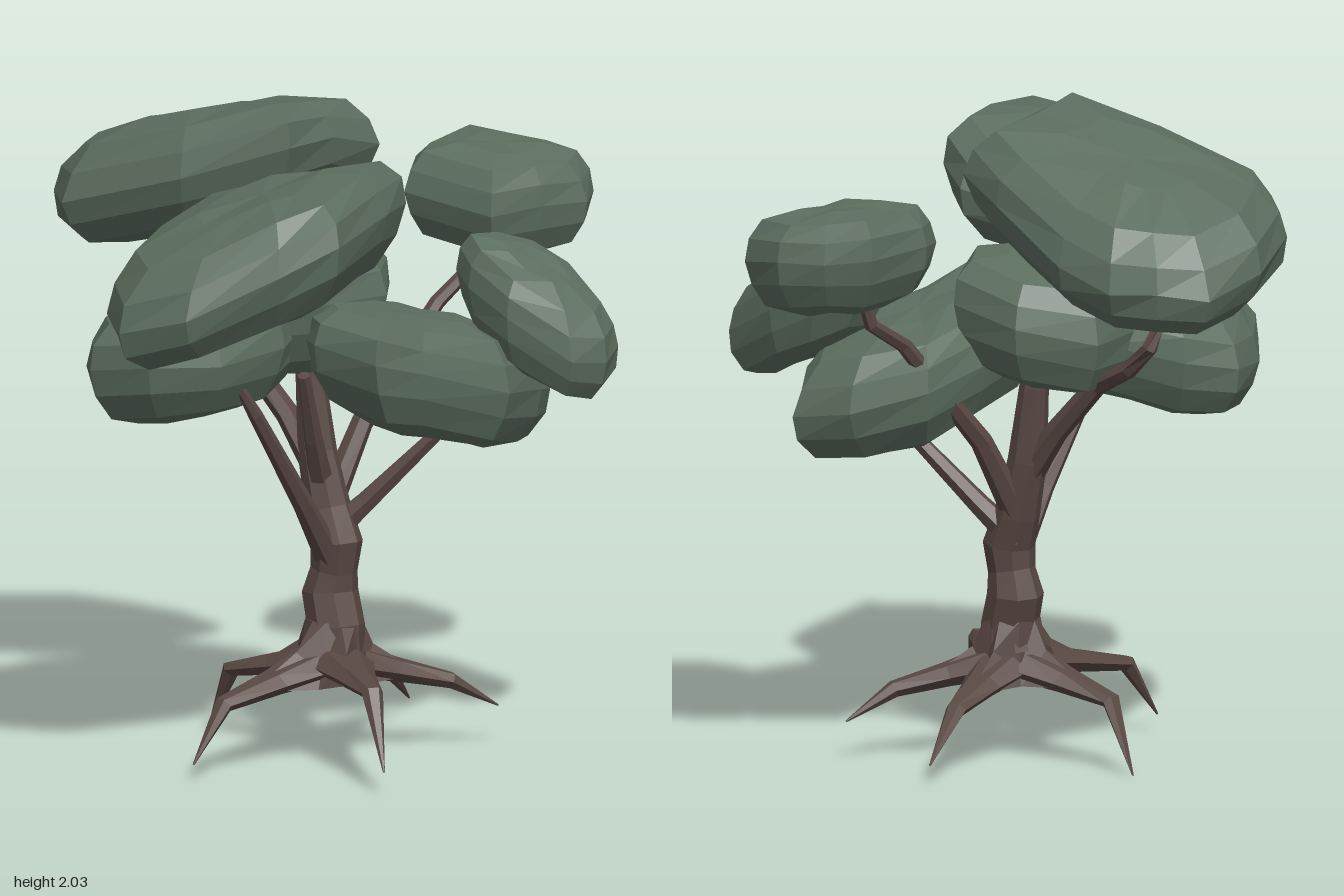
import * as THREE from 'three';

const leafMat = new THREE.MeshStandardMaterial({ color: 0x5c6e5f, flatShading: true });
const barkMat = new THREE.MeshStandardMaterial({ color: 0x594843, flatShading: true });

// Skin between closed rings of Vector3 with equal counts; ends close on their centres
function loft(rings) {
  const n = rings[0].length, pos = [], idx = [];
  for (const r of rings) for (const p of r) pos.push(p.x, p.y, p.z);
  for (let i = 0; i < rings.length - 1; i++)
    for (let j = 0; j < n; j++) {
      const a = i * n + j, b = i * n + (j + 1) % n;
      idx.push(a, b, b + n, a, b + n, a + n);
    }
  const cap = (ring, start, flip) => {
    const c = new THREE.Vector3();
    ring.forEach(p => c.addScaledVector(p, 1 / n));
    const k = pos.length / 3;
    pos.push(c.x, c.y, c.z);
    for (let j = 0; j < n; j++) {
      const a = start + j, b = start + (j + 1) % n;
      if (flip) idx.push(k, b, a); else idx.push(k, a, b);
    }
  };
  cap(rings[0], 0, true);
  cap(rings[rings.length - 1], (rings.length - 1) * n, false);
  const g = new THREE.BufferGeometry();
  g.setAttribute('position', new THREE.Float32BufferAttribute(pos, 3));
  g.setIndex(idx);
  const flat = g.toNonIndexed();
  flat.computeVertexNormals();
  return flat;
}

// Tapered limb through stations [x, y, z, width radius, height radius]
function limb(stations, sides = 6) {
  const pts = stations.map(s => new THREE.Vector3(s[0], s[1], s[2]));
  const rings = stations.map((s, i) => {
    const t = pts[Math.min(i + 1, pts.length - 1)].clone().sub(pts[Math.max(i - 1, 0)]).normalize();
    const ref = Math.abs(t.y) > 0.95 ? new THREE.Vector3(0, 0, 1) : new THREE.Vector3(0, 1, 0);
    const u = new THREE.Vector3().crossVectors(ref, t).normalize();
    const v = new THREE.Vector3().crossVectors(t, u);
    return Array.from({ length: sides }, (_, j) => {
      const a = j / sides * Math.PI * 2;
      return pts[i].clone().addScaledVector(u, Math.cos(a) * s[3]).addScaledVector(v, Math.sin(a) * (s[4] ?? s[3]));
    });
  });
  return loft(rings);
}

// Leaf clump: plan outline of [x, z] points, swelled up and down about a sloping, drooping middle sheet
const swell = [[0.5, -0.97], [0.8, -0.76], [0.95, -0.32], [1, 0.12], [0.95, 0.52], [0.8, 0.84], [0.42, 0.98]];
function clump({ plan, y, half, slopeX = 0, slopeZ = 0, bendX = 0, bendZ = 0 }, seed) {
  const xs = plan.map(p => p[0]), zs = plan.map(p => p[1]);
  const cx = (Math.min(...xs) + Math.max(...xs)) / 2, cz = (Math.min(...zs) + Math.max(...zs)) / 2;
  const rings = swell.map(([s, h], i) => plan.slice().reverse().map(([px, pz], j) => {
    const wob = Math.sin(seed * 7.1 + j * 2.3 + i * 0.9);
    const k = s * (i === 3 ? 1 : 1 + 0.025 * wob);
    const dx = (px - cx) * k, dz = (pz - cz) * k;
    const sheet = y + slopeX * dx + slopeZ * dz - bendX * dx * dx - bendZ * dz * dz;
    return new THREE.Vector3(cx + dx, sheet + half * (h + 0.04 * wob), cz + dz);
  }));
  return loft(rings);
}

const clumps = {
  rightBigFoliage: { y: 1.655, half: 0.195, slopeX: 0.18, slopeZ: 0.26, bendX: 0.28,
    plan: [[-0.98, 0.08], [-0.82, -0.09], [-0.57, -0.18], [-0.25, -0.17], [-0.05, 0], [0.06, 0.3], [-0.04, 0.45],
      [-0.25, 0.54], [-0.62, 0.64], [-0.76, 0.52], [-0.95, 0.31]] },
  topBackFoliage: { y: 1.735, half: 0.19, slopeX: -0.12, slopeZ: 0.28, bendX: 0.4,
    plan: [[-0.35, -0.62], [-0.22, -0.75], [0.07, -0.89], [0.3, -0.88], [0.39, -0.75], [0.46, -0.62], [0.46, -0.42],
      [0.37, -0.1], [0.3, 0.09], [0.06, 0.1], [-0.17, 0.11], [-0.31, -0.2]] },
  leftSmallFoliage: { y: 1.62, half: 0.16, slopeZ: -0.1,
    plan: [[0.46, 0.06], [0.6, -0.02], [0.87, -0.03], [0.94, 0.1], [0.98, 0.25], [0.93, 0.42], [0.82, 0.48],
      [0.65, 0.44], [0.46, 0.39]] },
  frontNarrowFoliage: { y: 1.37, half: 0.165, slopeZ: -0.47, bendZ: 0.3,
    plan: [[0.3, 0.38], [0.45, 0.38], [0.52, 0.5], [0.54, 0.65], [0.49, 0.85], [0.38, 0.89], [0.26, 0.85],
      [0.2, 0.65], [0.23, 0.48]] },
  frontLowFoliage: { y: 1.185, half: 0.19, slopeX: -0.26, slopeZ: -0.12,
    plan: [[-0.26, 0.27], [-0.1, 0.1], [0.2, 0.08], [0.45, 0.1], [0.58, 0.3], [0.61, 0.5], [0.45, 0.59],
      [0.2, 0.66], [-0.1, 0.56], [-0.27, 0.51]] },
  backLowFoliage: { y: 1.26, half: 0.18, slopeX: 0.08, slopeZ: 0.15, bendZ: 0.2,
    plan: [[-0.6, -0.32], [-0.45, -0.45], [-0.28, -0.51], [-0.12, -0.43], [0, -0.2], [0, 0.05], [-0.25, 0.15],
      [-0.5, 0.1], [-0.6, -0.1]] },
  middleFoliage: { y: 1.36, half: 0.19, slopeZ: 0.18,
    plan: [[-0.25, -0.1], [-0.1, -0.28], [0.13, -0.3], [0.28, -0.1], [0.27, 0.15], [0.1, 0.27], [-0.15, 0.22]] },
};

// Branches start inside the trunk and end inside a clump
const branches = {
  rightBranch: [[0.03, 0.58, 0.12, 0.045], [-0.12, 0.8, 0.12, 0.032], [-0.33, 1.11, 0.1, 0.022], [-0.38, 1.2, 0.08, 0.015]],
  frontBranch: [[0.05, 0.66, 0.08, 0.045], [0.11, 0.77, 0.18, 0.034], [0.22, 1, 0.38, 0.022], [0.25, 1.1, 0.42, 0.015]],
  leftBranch: [[0.05, 0.72, 0.07, 0.045], [0.2, 0.99, 0.1, 0.034], [0.48, 1.32, 0.17, 0.024], [0.61, 1.4, 0.19, 0.022],
    [0.67, 1.55, 0.2, 0.012]],
  backBranch: [[0.05, 0.86, 0.05, 0.045], [0.05, 1.02, -0.07, 0.036], [0.04, 1.18, -0.22, 0.032], [0.07, 1.25, -0.37, 0.026],
    [0.08, 1.33, -0.46, 0.024], [0.03, 1.47, -0.49, 0.019], [-0.06, 1.56, -0.52, 0.014]],
  innerBranch: [[0.04, 0.82, 0.07, 0.04], [-0.04, 0.98, 0.1, 0.03], [-0.13, 1.2, 0.13, 0.02]],
};

// Root knees and tips, in order around the trunk
const roots = [
  [[0.38, 0.2, 0.05], [0.55, 0.06, 0.01]],
  [[0.02, 0.21, -0.26], [0.05, 0.0, -0.37]],
  [[-0.41, 0.22, 0.04], [-0.52, 0.05, 0.01]],
  [[-0.22, 0.28, 0.46], [-0.32, 0.07, 0.58]],
  [[0.3, 0.21, 0.36], [0.43, 0.12, 0.44]],
].map(r => r.map(p => new THREE.Vector3(...p)));
const base = new THREE.Vector3(0.03, 0.3, 0.12);

// Star-shaped skirt webbing the roots together, hollow underneath
function rootSkirt() {
  const star = roots.flatMap(([knee], i) => {
    const next = roots[(i + 1) % roots.length][0];
    const ridge = base.clone().lerp(knee, 0.75);
    const valley = base.clone().lerp(knee.clone().add(next).multiplyScalar(0.5), 0.42);
    valley.y = 0.23;
    return [ridge, valley];
  });
  const round = (r, y) => star.map(p => {
    const d = p.clone().sub(base).setY(0).setLength(r);
    return d.add(base).setY(y);
  });
  const shoulder = star.map((p, j) => base.clone().lerp(p, j % 2 ? 0.8 : 0.45).setY(j % 2 ? 0.275 : 0.335));
  return loft([round(0.04, 0.28), star, shoulder, round(0.085, 0.42)]);
}

export function createModel() {
  const tree = new THREE.Group();
  tree.name = 'tree';
  const add = (name, geo, mat) => {
    const m = new THREE.Mesh(geo, mat);
    m.name = name;
    tree.add(m);
  };

  // Crooked trunk
  add('trunk', limb([[0.03, 0.32, 0.12, 0.1], [0.03, 0.4, 0.13, 0.088], [0.04, 0.5, 0.1, 0.086],
    [0.04, 0.57, 0.115, 0.072], [0.04, 0.65, 0.125, 0.08], [0.05, 0.75, 0.085, 0.07], [0.055, 0.92, 0.04, 0.06],
    [0.06, 1.15, 0.01, 0.045], [0.06, 1.3, 0, 0.03]], 8), barkMat);
  add('rootSkirt', rootSkirt(), barkMat);

  // Wide flattened roots that bend down at the knee
  roots.forEach(([knee, tip], i) => {
    const s = base.clone().lerp(knee, 0.22), m = base.clone().lerp(knee, 0.55);
    add('root' + (i + 1), limb([[s.x, s.y, s.z, 0.1, 0.05], [m.x, m.y, m.z, 0.065, 0.036],
      [knee.x, knee.y, knee.z, 0.033, 0.026], [tip.x, tip.y, tip.z, 0.003]]), barkMat);
  });

  for (const [name, path] of Object.entries(branches)) add(name, limb(path), barkMat);
  Object.entries(clumps).forEach(([name, c], i) => add(name, clump(c, i + 1), leafMat));
  return tree;
}
